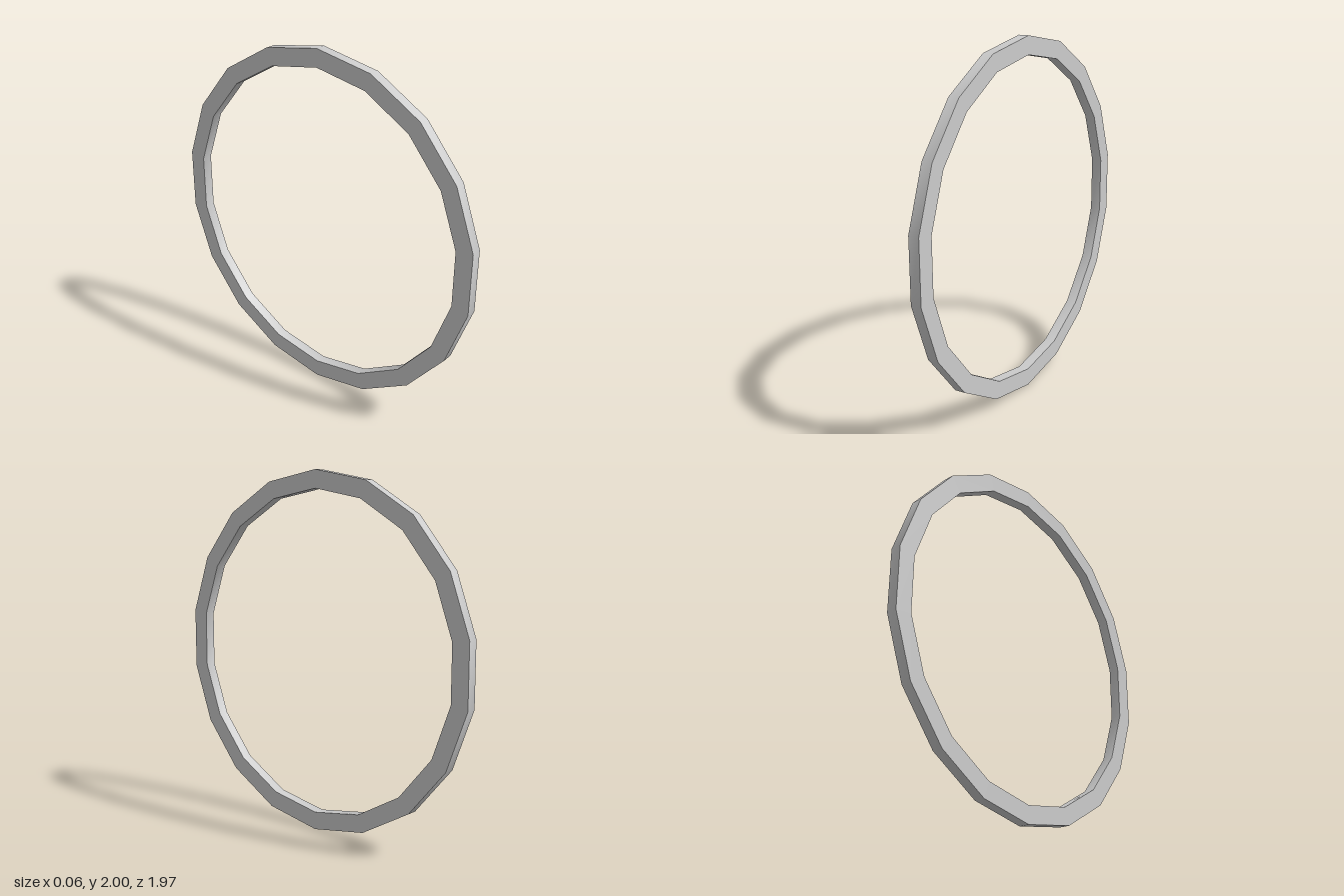
import * as THREE from 'three';
import { toCreasedNormals } from 'three/addons/utils/BufferGeometryUtils.js';

export function createModel() {
  const group = new THREE.Group();
  const outer = 1, inner = 0.9, half = 0.03, sides = 18;

  // Rectangular section, swept around the axis with a corner at the very top
  const section = [[outer, -half], [outer, half], [inner, half], [inner, -half], [outer, -half]]
    .map(([r, h]) => new THREE.Vector2(r, h));
  const lathe = new THREE.LatheGeometry(section, sides, Math.PI / 2);
  lathe.rotateZ(Math.PI / 2); // axis along x

  // Smooth around the ring, sharp at the rim edges
  const ring = new THREE.Mesh(
    toCreasedNormals(lathe, 0.7),
    new THREE.MeshStandardMaterial({ color: 0xcccccc })
  );
  ring.name = 'ring';
  ring.position.y = outer;
  group.add(ring);
  return group;
}
